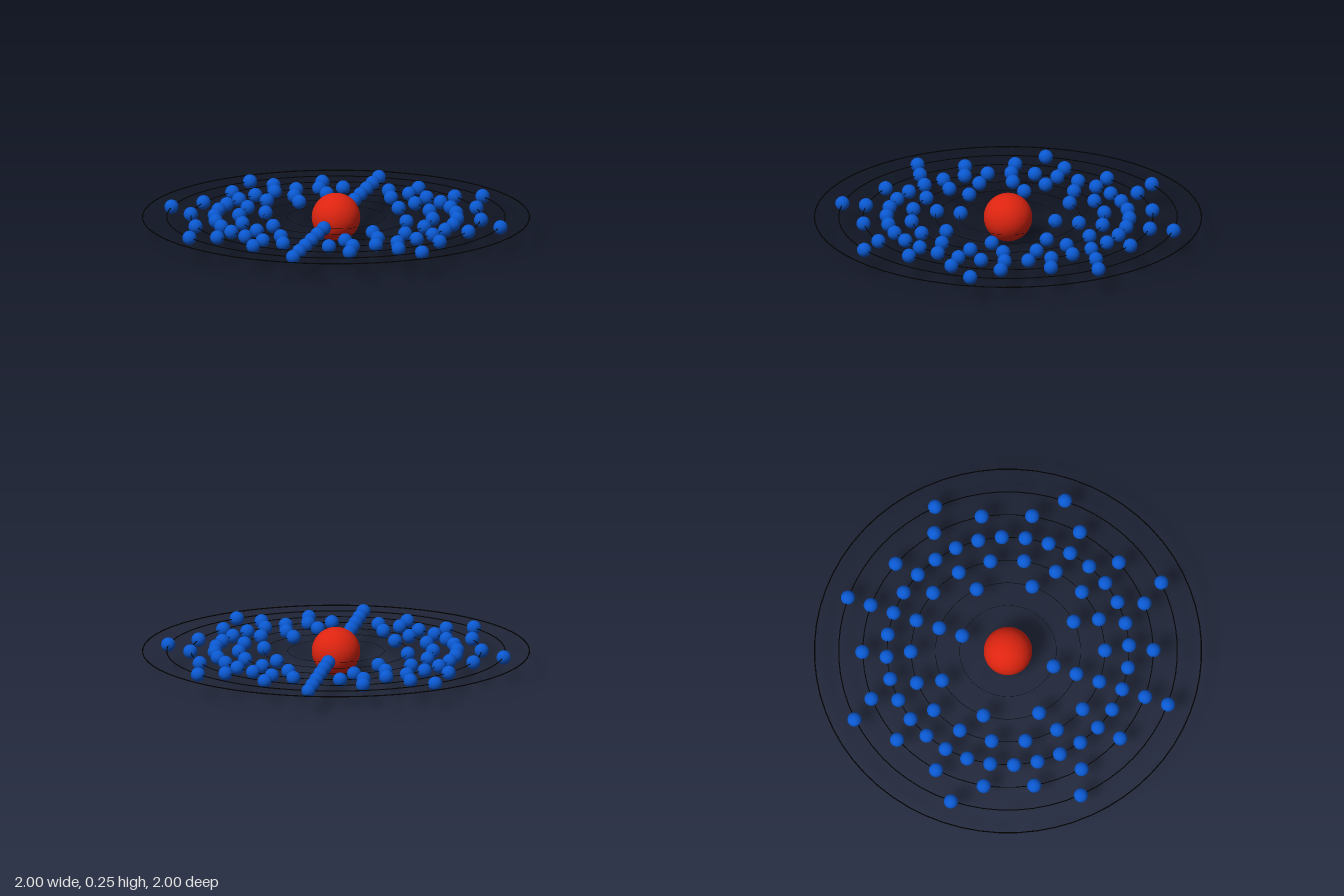
import * as THREE from 'three';

const CENTER_Y = 0.125;
const RING_STEP = 0.125;
// electrons on each orbit, from the innermost outward
const SHELLS = [2, 8, 18, 32, 18, 8, 0];

const paint = (color) => new THREE.MeshStandardMaterial({ color });

export function createModel() {
  const model = new THREE.Group();
  model.name = 'atom';
  const red = paint(0xdd2410);
  const blue = paint(0x0a58d0);
  const black = paint(0x000000);

  const add = (parent, name, geometry, material) => {
    const mesh = new THREE.Mesh(geometry, material);
    mesh.name = name;
    parent.add(mesh);
    return mesh;
  };

  // nucleus
  add(model, 'nucleus', new THREE.SphereGeometry(0.125, 48, 32), red).position.y = CENTER_Y;

  // flat orbits, each a thin ring with evenly spaced electrons
  const electronGeometry = new THREE.SphereGeometry(0.037, 24, 16);
  SHELLS.forEach((count, i) => {
    const radius = RING_STEP * (i + 2);
    const shell = new THREE.Group();
    shell.name = `shell${i + 1}`;
    shell.position.y = CENTER_Y;
    model.add(shell);

    // ring wire gets thicker with the size of the orbit
    const wire = 0.0032 * radius;
    const ring = new THREE.TorusGeometry(radius - wire, wire, 8, 64).rotateX(Math.PI / 2);
    add(shell, 'orbitRing', ring, black);

    for (let k = 0; k < count; k++) {
      const angle = (k / count) * Math.PI * 2;
      add(shell, 'electron', electronGeometry, blue)
        .position.set(radius * Math.sin(angle), 0, -radius * Math.cos(angle));
    }
  });

  return model;
}
